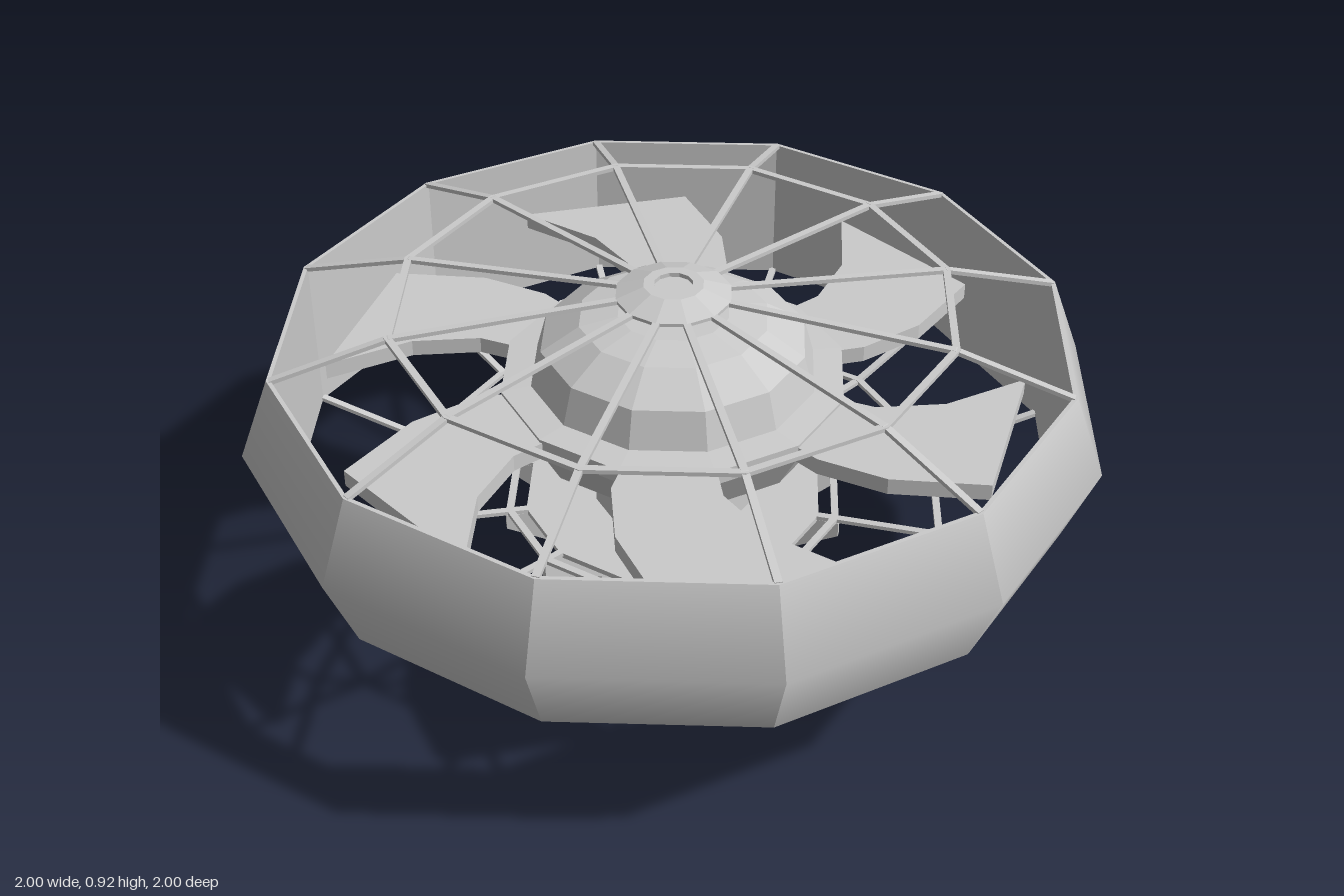
import * as THREE from 'three';

const SIDES = 12;
const STEP = (Math.PI * 2) / SIDES;
const mat = new THREE.MeshStandardMaterial({ color: 0xcccccc, flatShading: true, side: THREE.DoubleSide });
const smoothMat = new THREE.MeshStandardMaterial({ color: 0xcccccc, side: THREE.DoubleSide });

// Point at radius r, height y, around the vertical axis
const polar = (r, y, a) => new THREE.Vector3(r * Math.sin(a), y, r * Math.cos(a));

function add(parent, name, geometry, material = mat) {
  const mesh = new THREE.Mesh(geometry, material);
  mesh.name = name;
  parent.add(mesh);
  return mesh;
}

// Twelve-sided turned geometry from [radius, height] pairs
function lathe(profile) {
  return new THREE.LatheGeometry(profile.map(([r, y]) => new THREE.Vector2(r, y)), SIDES);
}

// Outer band: facets stay crisp around, but blend over the bulge
function ductBand(low, mid, high) {
  const geometry = lathe([low, mid, high]).toNonIndexed();
  geometry.computeVertexNormals();
  const { position, normal } = geometry.attributes;
  const n = new THREE.Vector3();
  for (let i = 0; i < position.count; i++) {
    n.fromBufferAttribute(normal, i).setY(0).normalize();
    n.setY(((position.getY(i) - mid[1]) / (high[1] - mid[1])) * 0.39).normalize();
    normal.setXYZ(i, n.x, n.y, n.z);
  }
  return geometry;
}

// Thin flat bar between two points
function bar(parent, name, a, b) {
  const mesh = add(parent, name, new THREE.BoxGeometry(0.017, 0.01, a.distanceTo(b) + 0.006));
  mesh.position.copy(a).lerp(b, 0.5);
  mesh.lookAt(b);
}

// Spokes and faceted hoops of one guard
function guard(name, path, hoops) {
  const group = new THREE.Group();
  group.name = name;
  for (let i = 0; i < SIDES; i++) {
    const a = i * STEP;
    for (let k = 0; k < path.length - 1; k++) {
      bar(group, 'guardSpoke', polar(...path[k], a), polar(...path[k + 1], a));
    }
    for (const [r, y] of hoops) bar(group, 'guardHoop', polar(r, y, a), polar(r, y, a + STEP));
  }
  return group;
}

// Flat slab cut from an outline
function slab(outline, depth) {
  const shape = new THREE.Shape(outline.map(([x, y]) => new THREE.Vector2(x, y)));
  return new THREE.ExtrudeGeometry(shape, { depth, bevelEnabled: false });
}

export function createModel() {
  const model = new THREE.Group();
  model.name = 'ductedFan';

  // Duct: bulging outer band, straight inner wall
  add(model, 'ductOuter', ductBand([0.925, 0.412], [1, 0.6], [0.925, 0.795]), smoothMat);
  add(model, 'ductInner', lathe([[0.925, 0.795], [0.915, 0.795], [0.915, 0.412], [0.925, 0.412]]));

  // Upper and lower guards
  model.add(guard('upperGuard', [[0.915, 0.793], [0.65, 0.865], [0.1, 0.893]], [[0.65, 0.865]]));
  model.add(guard('lowerGuard', [[0.915, 0.415], [0.65, 0.347], [0.36, 0.335]], [[0.65, 0.347], [0.4, 0.337]]));

  // Cap with a shallow dimple
  add(model, 'cap', lathe([
    [0, 0.888], [0.135, 0.888], [0.135, 0.896], [0.07, 0.92], [0.045, 0.92], [0.045, 0.91], [0, 0.91],
  ]));

  // Motor hub: neck, blade flange, shoulder and dome
  add(model, 'hub', lathe([
    [0.19, 0.33], [0.19, 0.55], [0.35, 0.55], [0.405, 0.65], [0.405, 0.685], [0.335, 0.69],
    [0.31, 0.78], [0.22, 0.835], [0.13, 0.85], [0, 0.85],
  ]));

  // Six swept blades
  const bladeOutline = [
    [0.36, 0.01], [0.48, 0], [0.63, 0.06], [0.785, 0.21],
    [0.785, -0.21], [0.565, -0.255], [0.4, -0.23], [0.32, -0.185],
  ];
  const bladeGeometry = slab(bladeOutline, 0.04);
  bladeGeometry.rotateX(-Math.PI / 2);
  for (let i = 0; i < 6; i++) {
    const blade = add(model, 'blade', bladeGeometry);
    blade.position.y = 0.638;
    blade.rotation.y = (i * Math.PI) / 3;
  }

  // Flared base bowl with a conical boss in its recess
  add(model, 'baseBowl', lathe([
    [0, 0.035], [0.05, 0.035], [0.1, 0.1], [0.19, 0.1], [0.19, 0.035], [0.2, 0.035], [0.2, 0.22],
    [0.36, 0.325], [0.36, 0.338], [0, 0.338],
  ]));

  // Twelve bent cooling fins around the base
  const finGeometry = slab([
    [0.1, 0], [0.24, 0], [0.24, 0.2], [0.41, 0.29], [0.41, 0.328],
    [0.34, 0.328], [0.19, 0.225], [0.19, 0.035], [0.1, 0.035],
  ], 0.012);
  finGeometry.translate(0, 0, -0.006);
  for (let i = 0; i < SIDES; i++) {
    add(model, 'baseFin', finGeometry).rotation.y = i * STEP;
  }

  return model;
}
